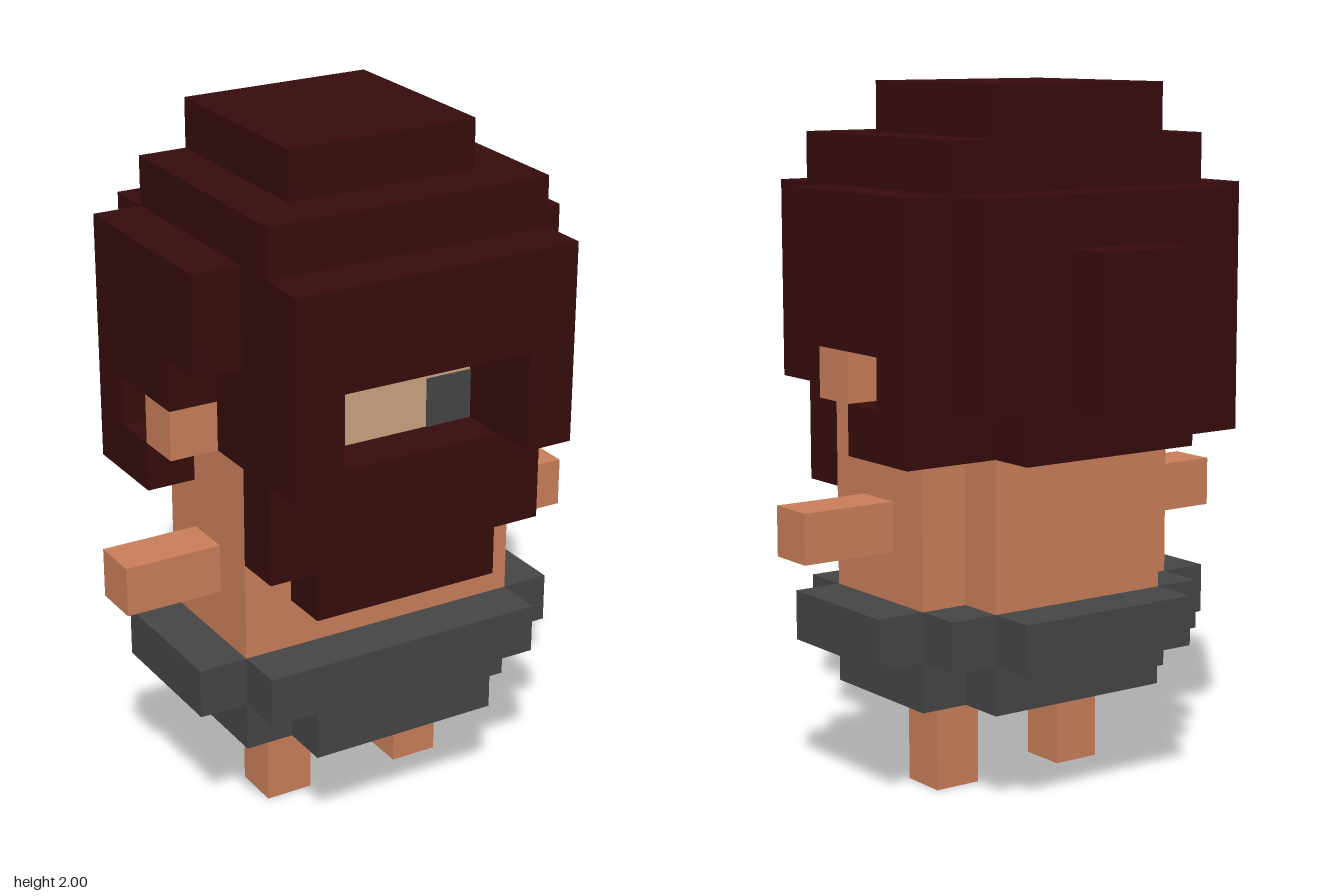
import * as THREE from 'three';

const U = 1 / 7; // one voxel

const mat = (name, color) => {
  const m = new THREE.MeshStandardMaterial({ color });
  m.name = name;
  return m;
};

export function createModel() {
  const hair = mat('dark brown hair', 0x360c0d);
  const skin = mat('skin', 0xc97e59);
  const face = mat('pale face', 0xc9a47f);
  const grey = mat('grey cloth', 0x454545);
  const model = new THREE.Group();
  model.name = 'voxelFigure';

  // Box from voxel ranges [min, max]
  const box = (name, material, [x0, x1], [y0, y1], [z0, z1]) => {
    const g = new THREE.BoxGeometry((x1 - x0) * U, (y1 - y0) * U, (z1 - z0) * U);
    g.translate((x0 + x1) / 2 * U, (y0 + y1) / 2 * U, (z0 + z1) / 2 * U);
    const mesh = new THREE.Mesh(g, material);
    mesh.name = name;
    model.add(mesh);
  };
  // Box centred on x
  const mid = (name, material, w, y, z) => box(name, material, [-w, w], y, z);
  // Mirrored pair of boxes
  const pair = (name, material, [a, b], y, z) => {
    box('left' + name, material, [a, b], y, z);
    box('right' + name, material, [-b, -a], y, z);
  };

  // Limbs
  pair('Leg', skin, [1, 2], [0, 2], [0, 1]);
  pair('Arm', skin, [3, 5], [5, 6], [0, 1]);
  mid('crotch', skin, 1, [1.96, 2], [0, 1]);

  // Shorts with stepped corners
  mid('shortsCentre', grey, 2, [2, 3], [-2, 3]);
  pair('ShortsSide', grey, [2, 3], [2, 3], [-1, 2]);
  mid('waistbandBack', grey, 2, [3, 4], [-3, -2]);
  mid('waistbandCentre', grey, 3, [3, 4], [-2, 3]);
  pair('WaistbandSide', grey, [3, 4], [3, 4], [-1, 2]);

  // Torso
  mid('torso', skin, 3, [4, 8], [-1, 2]);
  mid('back', skin, 2, [4, 8], [-2, -1]);

  // Beard
  mid('beard', hair, 3, [6, 8], [2, 3]);
  mid('beardTip', hair, 2, [5, 6], [2, 3]);

  // Head and hair
  mid('hairCore', hair, 3, [8, 12], [-3, 2]);
  mid('fringe', hair, 3, [10, 12], [2, 4]);
  pair('FrontLock', hair, [2, 3], [8, 10], [2, 4]);
  mid('hairUpper', hair, 3, [12, 13], [-2, 3]);
  mid('hairTop', hair, 2, [13, 14], [-2, 2]);
  mid('bun', hair, 1, [8, 11], [-4, -3]);
  mid('napeHair', hair, 2, [7, 8], [-3, -2]);

  // Side hair wrapped around the ears
  pair('SideHair', hair, [3, 4], [10, 12], [-2, 2]);
  pair('HairOverEar', hair, [3, 4], [9, 10], [-2, 1]);
  pair('HairBehindEar', hair, [3, 4], [8, 9], [-2, -1]);
  pair('HairBelowEar', hair, [2, 4], [7, 8], [-2, 0]);
  pair('Ear', skin, [3, 4], [8, 9], [0, 1]);
  pair('EarSkin', skin, [3, 3.04], [8, 9], [-1, 0]);

  // Face
  mid('face', face, 2, [8, 10], [2, 2.03]);
  pair('Eye', grey, [1, 2], [8, 9], [2, 2.06]);

  return model;
}
